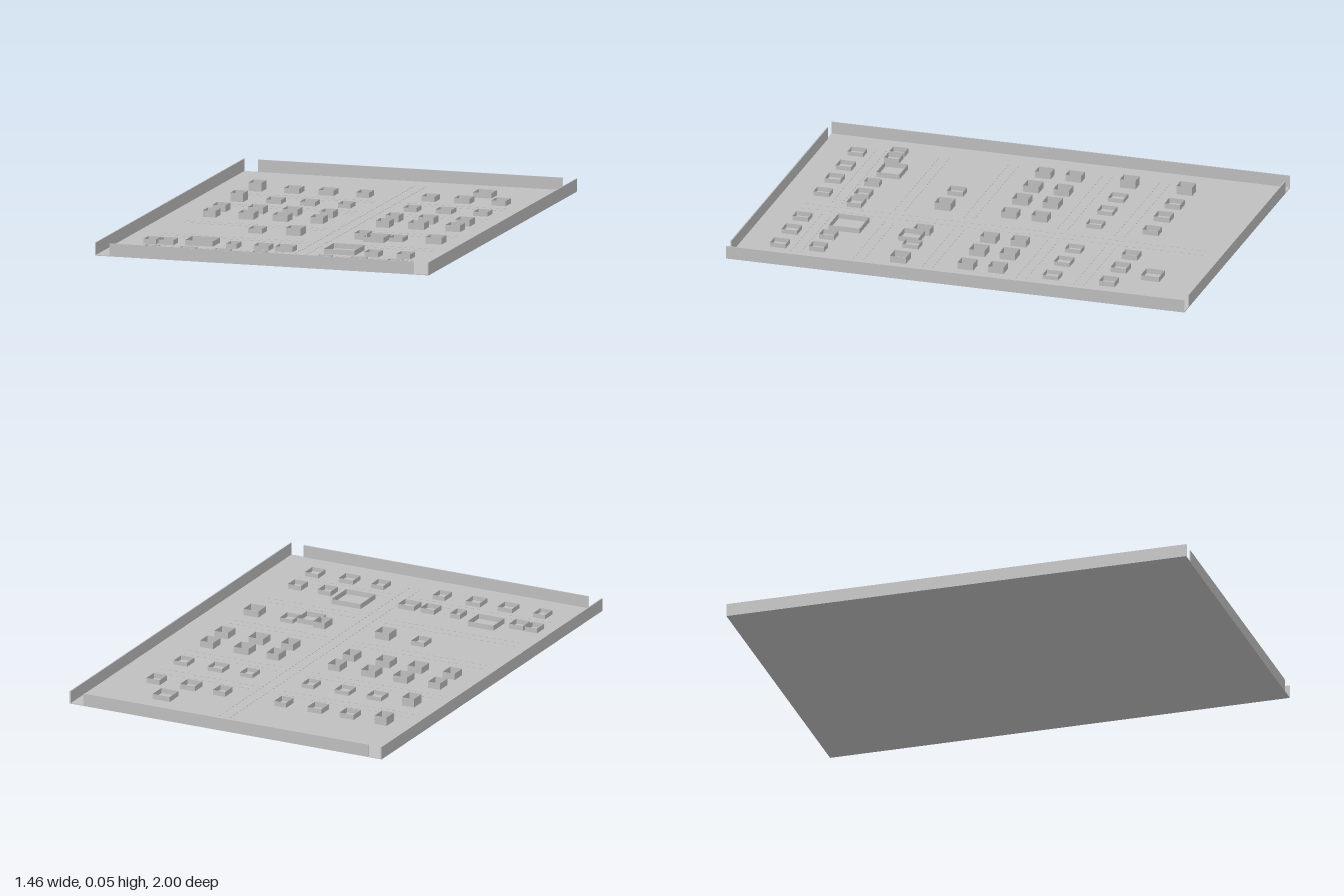
import * as THREE from 'three';

const grey = new THREE.MeshStandardMaterial({ color: 0xbfbfbf, side: THREE.DoubleSide });
grey.name = 'plain grey';

const FLOOR = 0.003;

// Open-topped square shell of unit size, standing on y = 0
const shell = new THREE.CylinderGeometry(Math.SQRT1_2, Math.SQRT1_2, 1, 4, 1, true)
  .rotateY(Math.PI / 4).translate(0, 0.5, 0).toNonIndexed();
shell.computeVertexNormals();

// Regular plots share columns: centre x and house width
const columns = [[-0.54, 0.056], [-0.38, 0.066], [-0.23, 0.066], [-0.07, 0.055],
  [0.217, 0.057], [0.364, 0.068], [0.525, 0.062]];

// Rows of regular plots
const rows = [
  { z: -0.607, height: 0.022, firstHeight: 0.037 },
  { z: -0.36, height: 0.018, firstHeight: 0.037 },
  { z: -0.122, height: 0.028, firstHeight: 0.028 },
  { z: 0.01, height: 0.028, firstHeight: 0.028 },
  { z: 0.828, height: 0.019, firstHeight: 0.018 },
];

// Houses off the regular plots: x, z, width, depth, height
const oddHouses = [
  [0.405, -0.76, 0.08, 0.08, 0.022],
  [-0.245, 0.3, 0.06, 0.07, 0.02],
  [-0.078, 0.3, 0.065, 0.07, 0.032],
  [0.217, 0.3, 0.055, 0.07, 0.028],
  [0.37, 0.3, 0.06, 0.07, 0.018],
  [0.535, 0.3, 0.07, 0.07, 0.028],
  [0.285, 0.33, 0.09, 0.09, 0.022],
  [-0.38, 0.625, 0.12, 0.1, 0.022],
  [0.237, 0.618, 0.135, 0.135, 0.022],
];

// Close-set row: centre x, width
const closeRow = [[-0.588, 0.055], [-0.518, 0.065], [-0.232, 0.045], [-0.102, 0.065],
  [-0.003, 0.075], [0.38, 0.06], [0.52, 0.06]];

function addHouse(group, x, z, width, depth, height) {
  const house = new THREE.Mesh(shell, grey);
  house.name = 'house';
  house.scale.set(width, height, depth);
  house.position.set(x, FLOOR, z);
  group.add(house);
}

function addBox(group, name, w, h, d, x, y, z) {
  const mesh = new THREE.Mesh(new THREE.BoxGeometry(w, h, d), grey);
  mesh.name = name;
  mesh.position.set(x, y, z);
  group.add(mesh);
}

export function createModel() {
  const model = new THREE.Group();
  model.name = 'walledSettlement';

  // Ground and perimeter walls, with gaps at the corners
  addBox(model, 'ground', 1.46, FLOOR, 2, 0, FLOOR / 2, 0);
  for (const s of [-1, 1]) {
    addBox(model, 'sideWall', 0.005, 0.055, 2, s * 0.7275, 0.0275, 0);
    addBox(model, 'endWall', 1.33, 0.055, 0.005, 0, 0.0275, s * 0.9975);
  }

  // Houses
  const houses = new THREE.Group();
  houses.name = 'houses';
  for (const { z, height, firstHeight } of rows) {
    columns.forEach(([x, width], i) => addHouse(houses, x, z, width, 0.068, i ? height : firstHeight));
  }
  for (const [x, width] of closeRow) addHouse(houses, x, 0.662, width, 0.065, 0.021);
  for (const house of oddHouses) addHouse(houses, ...house);
  model.add(houses);

  // Dashed kerbs along both sides of each street
  const dashes = [];
  for (const z of [-0.49, -0.24, 0.17, 0.47, 0.745]) {
    for (let x = -0.6; x < 0.58; x += 0.03) {
      if (Math.abs(x - 0.08) < 0.05) continue;
      for (const s of [-1, 1]) dashes.push([x, z + s * 0.022, 0]);
    }
  }
  for (let z = -0.88; z < 0.88; z += 0.03) {
    for (const s of [-1, 1]) dashes.push([0.08 + s * 0.025, z, Math.PI / 2]);
  }
  const kerbs = new THREE.InstancedMesh(new THREE.BoxGeometry(0.012, 0.002, 0.003), grey, dashes.length);
  kerbs.name = 'streetKerbs';
  const matrix = new THREE.Matrix4();
  dashes.forEach(([x, z, turn], i) => {
    kerbs.setMatrixAt(i, matrix.makeRotationY(turn).setPosition(x, FLOOR + 0.001, z));
  });
  model.add(kerbs);

  return model;
}
